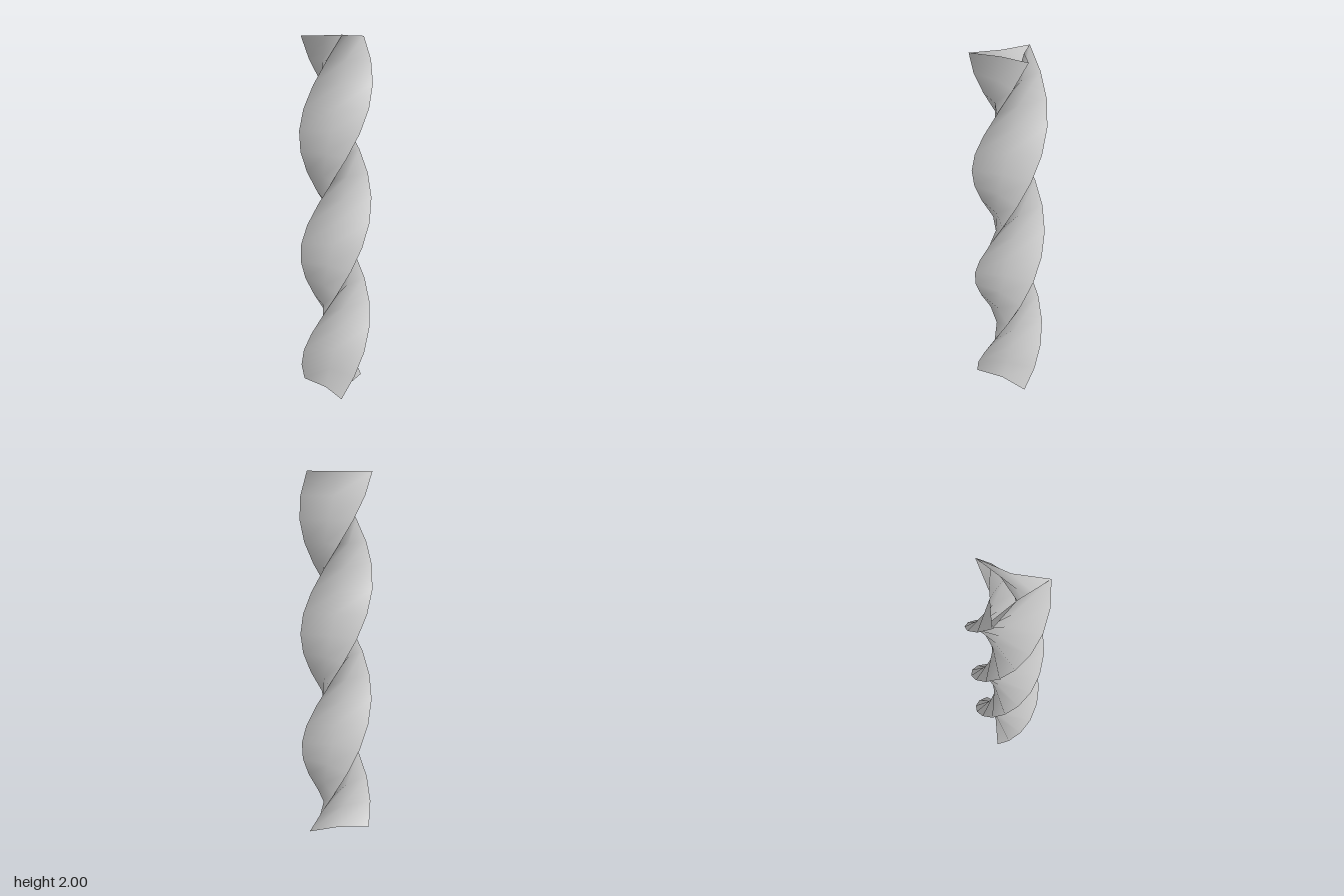
import * as THREE from 'three';

const HEIGHT = 2, RIDGE = 0.2, GROOVE = 0.074, STEPS = 16;

// One concave side of the three-pointed section, swept up one full turn
function twistedPanel(start) {
  const positions = [], index = [];
  for (let j = 0; j <= STEPS; j++) {
    const t = j / STEPS;
    for (let i = 0; i < 3; i++) {
      const r = i === 1 ? GROOVE : RIDGE;
      const a = start + i * Math.PI / 3 - t * Math.PI * 2;
      positions.push(r * Math.cos(a), t * HEIGHT, r * Math.sin(a));
    }
  }
  for (let j = 0; j < STEPS; j++) {
    for (let i = 0; i < 2; i++) {
      const a = j * 3 + i, b = a + 1, c = a + 3, d = a + 4;
      index.push(a, c, b, b, c, d);
    }
  }
  const geometry = new THREE.BufferGeometry();
  geometry.setAttribute('position', new THREE.Float32BufferAttribute(positions, 3));
  geometry.setIndex(index);
  geometry.computeVertexNormals();
  return geometry;
}

export function createModel() {
  const model = new THREE.Group();
  model.name = 'twistedColumn';
  const material = new THREE.MeshStandardMaterial({ color: 0xcccccc, side: THREE.DoubleSide });

  // Three separate sides keep the spiral ridges sharp; both ends stay open
  for (let k = 0; k < 3; k++) {
    const panel = new THREE.Mesh(twistedPanel(k * Math.PI * 2 / 3), material);
    panel.name = `spiralSide${k + 1}`;
    model.add(panel);
  }
  return model;
}
